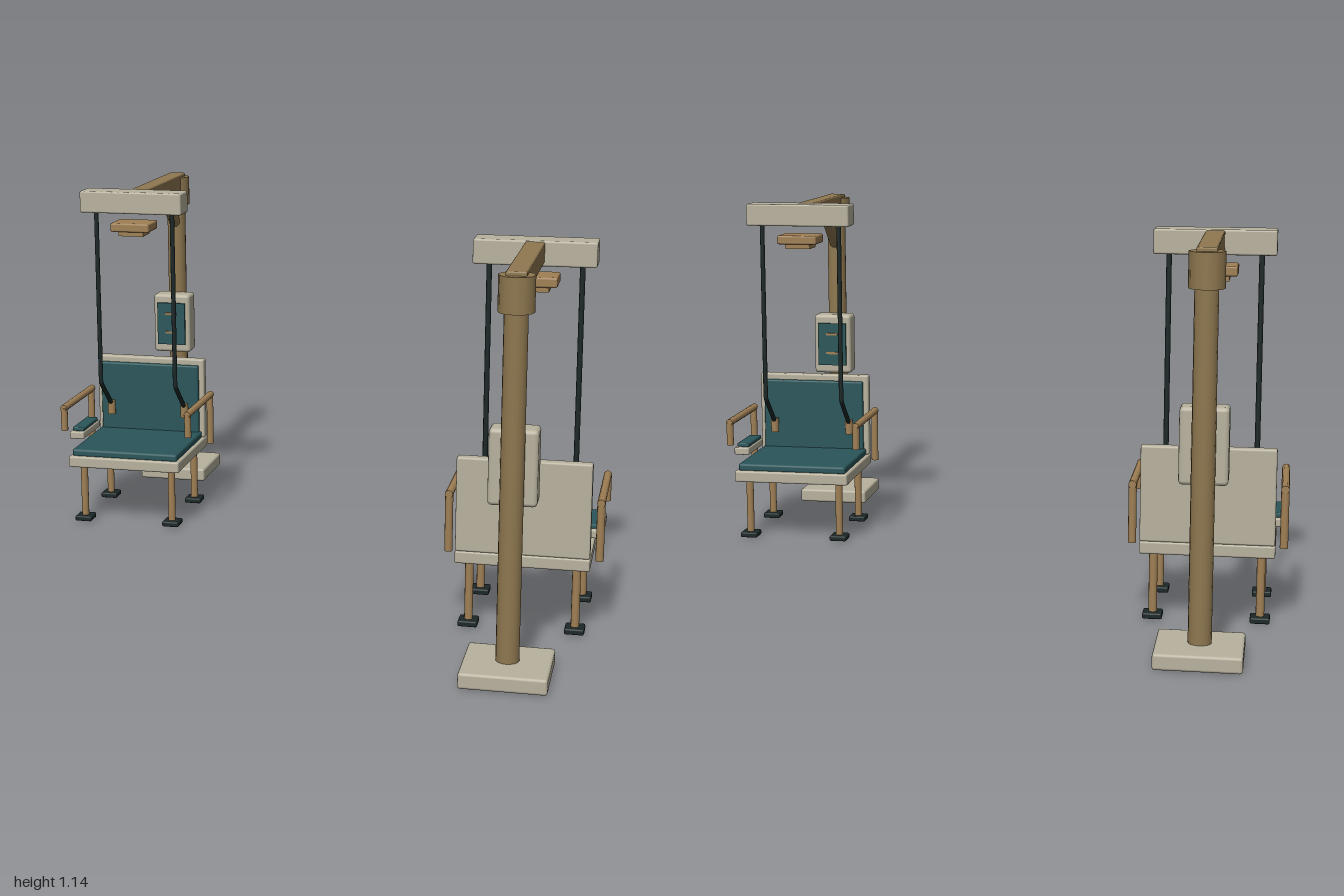
import * as THREE from 'three';
import { RoundedBoxGeometry } from 'three/addons/geometries/RoundedBoxGeometry.js';

function material(name, color) {
  const m = new THREE.MeshStandardMaterial({ color });
  m.name = name;
  return m;
}

const cream = material('cream enamel', 0xb8b29e);
const bronze = material('bronze post', 0x8f7850);
const lightBronze = material('light bronze', 0xa08055);
const teal = material('teal cushion', 0x2a565a);
const black = material('black rubber', 0x1c2727);

const CX = -0.722; // centre line of one station

function add(group, name, geometry, mat) {
  const mesh = new THREE.Mesh(geometry, mat);
  mesh.name = name;
  group.add(mesh);
  return mesh;
}

// Box given by its centre (x relative to the centre line) and size
function box(group, name, mat, [x, y, z], [w, h, d], r = 0) {
  const g = r ? new RoundedBoxGeometry(w, h, d, 2, r) : new THREE.BoxGeometry(w, h, d);
  add(group, name, g, mat).position.set(CX + x, y, z);
}

// Round bar between two points
function bar(group, name, mat, a, b, r, sides = 12) {
  const p = new THREE.Vector3(CX + a[0], a[1], a[2]);
  const q = new THREE.Vector3(CX + b[0], b[1], b[2]);
  const mesh = add(group, name, new THREE.CylinderGeometry(r, r, p.distanceTo(q), sides), mat);
  mesh.position.copy(p).add(q).multiplyScalar(0.5);
  mesh.quaternion.setFromUnitVectors(new THREE.Vector3(0, 1, 0), q.sub(p).normalize());
}

function createSupport() {
  const g = new THREE.Group();
  g.name = 'support';
  // Base, post and overhead arm
  box(g, 'basePlate', cream, [0, 0.023, -0.88], [0.245, 0.046, 0.24], 0.008);
  bar(g, 'post', bronze, [0, 0.04, -0.875], [0, 1.1, -0.875], 0.033, 16);
  bar(g, 'postCollar', bronze, [0, 1.025, -0.875], [0, 1.125, -0.875], 0.05, 12);
  box(g, 'overheadArm', bronze, [0, 1.106, -0.645], [0.057, 0.062, 0.51], 0.005);
  bar(g, 'armBrace', bronze, [0, 0.955, -0.86], [0, 1.09, -0.7], 0.02, 12);
  box(g, 'pulleyHousing', cream, [0, 1.103, -0.364], [0.358, 0.074, 0.09], 0.006);

  // Small stepped block below the housing
  box(g, 'upperBlock', lightBronze, [0, 1.02, -0.361], [0.136, 0.03, 0.108], 0.006);
  box(g, 'lowerBlock', lightBronze, [0, 0.998, -0.361], [0.086, 0.018, 0.076]);

  // Control cabinet with raised panel
  box(g, 'controlCabinet', cream, [0, 0.592, -0.827], [0.136, 0.216, 0.078], 0.012);
  box(g, 'controlPanel', teal, [0, 0.592, -0.784], [0.104, 0.155, 0.009]);
  for (const y of [0.63, 0.56]) {
    box(g, 'panelMark', lightBronze, [0, y, -0.778], [0.042, 0.008, 0.006]);
  }
  return g;
}

function createSeat() {
  const g = new THREE.Group();
  g.name = 'seat';
  box(g, 'seatFrame', cream, [0, 0.221, -0.362], [0.394, 0.038, 0.373], 0.006);
  box(g, 'seatCushion', teal, [0, 0.25, -0.353], [0.374, 0.026, 0.328], 0.008);
  box(g, 'backrest', cream, [0, 0.382, -0.531], [0.392, 0.285, 0.034], 0.006);
  box(g, 'backCushion', teal, [0, 0.38, -0.506], [0.358, 0.248, 0.02], 0.006);

  // Legs and feet
  for (const x of [-0.157, 0.157]) {
    for (const z of [-0.508, -0.225]) {
      bar(g, 'leg', lightBronze, [x, 0.015, z], [x, 0.21, z], 0.0125);
      box(g, 'foot', black, [x, 0.011, z], [0.058, 0.018, 0.058], 0.005);
    }
  }

  // Armrests
  for (const x of [-0.221, 0.221]) {
    bar(g, 'armRail', lightBronze, [x, 0.401, -0.515], [x, 0.401, -0.208], 0.012);
    bar(g, 'armFrontPost', lightBronze, [x, 0.322, -0.217], [x, 0.401, -0.217], 0.012);
    bar(g, 'armRearPost', lightBronze, [x, 0.225, -0.503], [x, 0.401, -0.503], 0.012);
  }

  // Padded side tray
  box(g, 'sideTray', cream, [-0.2, 0.288, -0.365], [0.052, 0.026, 0.18], 0.005);
  box(g, 'trayPad', teal, [-0.198, 0.307, -0.365], [0.042, 0.014, 0.152], 0.004);
  return g;
}

function createCables() {
  const g = new THREE.Group();
  g.name = 'pullCables';
  for (const x of [-0.135, 0.135]) {
    const path = new THREE.CurvePath();
    const p = [[1.08, -0.364], [0.46, -0.364], [0.36, -0.472]]
      .map(([y, z]) => new THREE.Vector3(CX + x, y, z));
    path.add(new THREE.LineCurve3(p[0], p[1]));
    path.add(new THREE.LineCurve3(p[1], p[2]));
    add(g, 'cable', new THREE.TubeGeometry(path, 40, 0.008, 8), black);
    bar(g, 'handle', lightBronze, [x, 0.322, -0.474], [x, 0.37, -0.474], 0.014);
  }
  return g;
}

function createStation(name) {
  const g = new THREE.Group();
  g.name = name;
  g.add(createSupport(), createSeat(), createCables());
  return g;
}

export function createModel() {
  const model = new THREE.Group();
  model.name = 'pairedPulldownStations';
  // Two identical stations facing each other diagonally
  const rear = createStation('rearStation');
  const front = createStation('frontStation');
  front.rotation.y = Math.PI;
  model.add(rear, front);
  return model;
}
